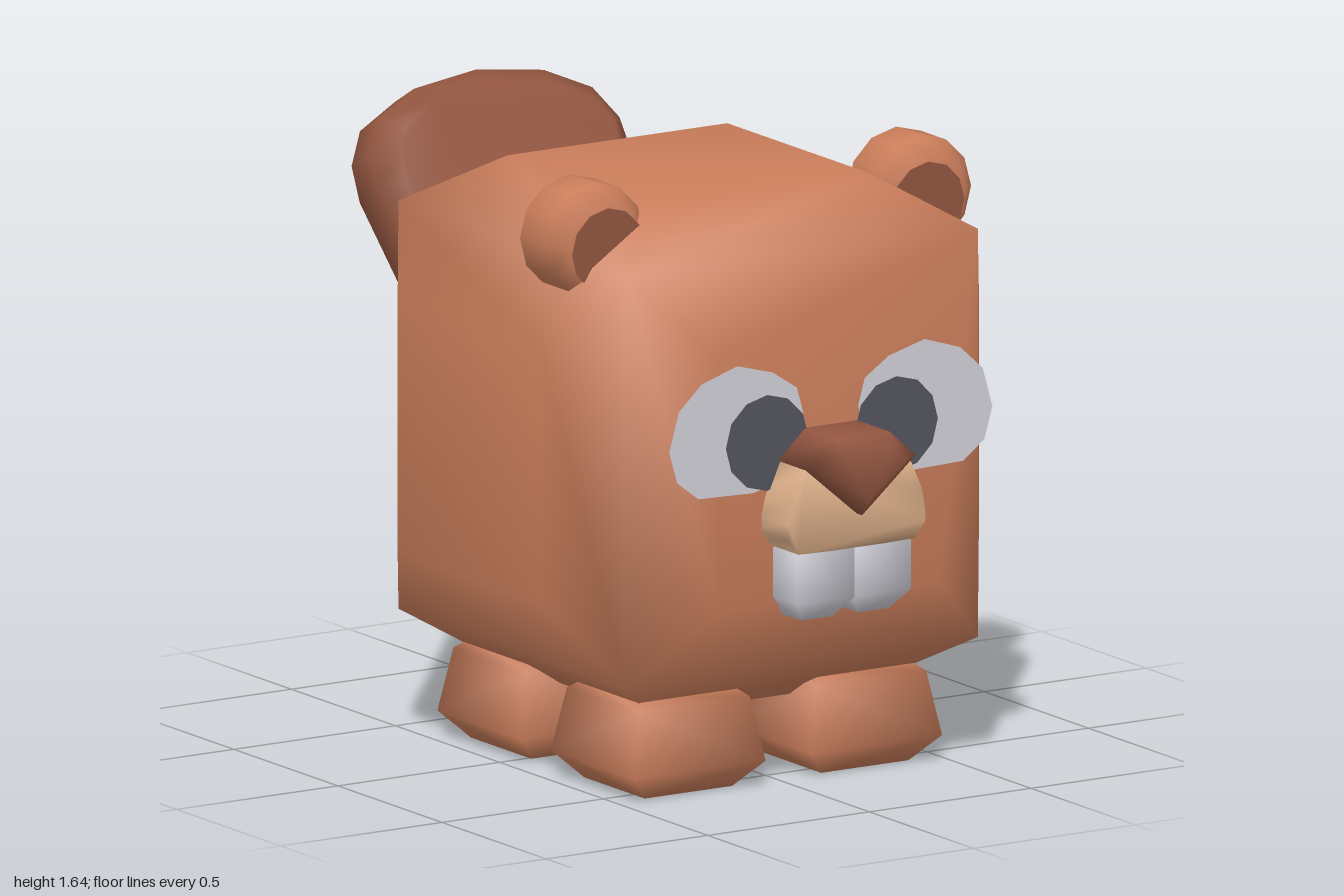
import * as THREE from 'three';
import { mergeVertices } from 'three/addons/utils/BufferGeometryUtils.js';
import { ConvexGeometry } from 'three/addons/geometries/ConvexGeometry.js';

const material = (name, color, side = THREE.FrontSide) => {
  const m = new THREE.MeshStandardMaterial({ color, side });
  m.name = name;
  return m;
};

// Weld all corners so the normals run smoothly over the facets
function soften(geometry) {
  geometry.deleteAttribute('normal');
  geometry.deleteAttribute('uv');
  const g = mergeVertices(geometry, 1e-4);
  g.computeVertexNormals();
  return g;
}

const softHull = (points) => soften(new ConvexGeometry(points));

// Rectangular rings [y, half width, half depth] joined into a chamfered block
function ringBlock(rings) {
  const points = [];
  for (const [y, w, d] of rings)
    for (const sx of [-1, 1]) for (const sz of [-1, 1]) points.push(new THREE.Vector3(sx * w, y, sz * d));
  return softHull(points);
}

// Half outline, from bottom to top, mirrored into a full closed shape
function mirroredShape(half) {
  const left = half.filter(([x]) => x > 0).reverse().map(([x, y]) => [-x, y]);
  return new THREE.Shape([...half, ...left].map(([x, y]) => new THREE.Vector2(x, y)));
}

// Soft plate between two z values with chamfered rims
function plate(shape, zBack, zFront, bevel) {
  const g = new THREE.ExtrudeGeometry(shape, {
    depth: zFront - zBack - 2 * bevel, bevelEnabled: bevel > 0, bevelSize: bevel,
    bevelThickness: bevel, bevelOffset: -bevel, bevelSegments: 1, curveSegments: 1,
  });
  g.translate(0, 0, zBack + bevel);
  return soften(g);
}

export function createModel() {
  const fur = material('fur', 0xcb7e5b);
  const brown = material('dark brown', 0x935640);
  const tan = material('tan', 0xdcae88);
  const white = material('white', 0xd2d1da);
  const eyeWhite = material('eye white', 0xd2d1da, THREE.DoubleSide);
  const pupilGrey = material('pupil grey', 0x545460, THREE.DoubleSide);

  const model = new THREE.Group();
  const add = (name, geometry, mat, x = 0, y = 0, z = 0) => {
    const mesh = new THREE.Mesh(geometry, mat);
    mesh.name = name;
    mesh.position.set(x, y, z);
    model.add(mesh);
    return mesh;
  };

  // Body: a cube whose six faces bulge out to smaller squares
  const R = 0.68, F = 0.34, C = 0.545;
  const bodyPoints = [];
  for (const a of [-1, 1]) for (const b of [-1, 1]) for (const c of [-1, 1]) {
    bodyPoints.push(
      new THREE.Vector3(a * C, b * C, c * C),
      new THREE.Vector3(a * R, b * F, c * F),
      new THREE.Vector3(a * F, b * R, c * F),
      new THREE.Vector3(a * F, b * F, c * R));
  }
  add('body', softHull(bodyPoints), fur, 0, 0.88, 0.13);

  // Tail: a wide paddle leaning back by 30 degrees
  const tailShape = mirroredShape([
    [0.18, 0.84], [0.26, 0.92], [0.34, 1.3], [0.392, 1.56], [0.385, 1.66],
    [0.33, 1.75], [0.2, 1.815], [0, 1.842],
  ]);
  add('tail', plate(tailShape, -0.123, 0.092, 0.055), brown).rotation.x = -Math.PI / 6;

  // Muzzle and nose
  add('muzzle', plate(mirroredShape([
    [0.08, 0.695], [0.18, 0.697], [0.212, 0.74], [0.212, 0.78], [0.2, 0.83], [0.16, 0.92],
  ]), 0.76, 0.94, 0), tan);
  add('nose', plate(mirroredShape([
    [0, 0.785], [0.165, 0.925], [0.085, 0.998],
  ]), 0.76, 1.0, 0.035), brown);

  // Shared shapes for the mirrored parts
  const foot = ringBlock([[0, 0.135, 0.145], [0.07, 0.202, 0.202], [0.24, 0.172, 0.172], [0.27, 0.135, 0.135]]);
  const tooth = ringBlock([[0.505, 0.048, 0.045], [0.56, 0.088, 0.09], [0.69, 0.088, 0.09], [0.73, 0.05, 0.05]]);
  const ear = soften(new THREE.LatheGeometry([
    [0, -0.105], [0.11, -0.105], [0.152, -0.062], [0.152, 0.062], [0.11, 0.105], [0, 0.105],
  ].map(([r, y]) => new THREE.Vector2(r, y)), 12).rotateX(Math.PI / 2));
  const innerEar = new THREE.CircleGeometry(0.112, 12);
  const pupil = new THREE.CircleGeometry(0.128, 12);
  const eyeOutline = [
    [0.5, 0.985], [0.47, 1.09], [0.4, 1.155], [0.29, 1.19], [0.18, 1.16], [0.105, 1.11],
    [0.085, 1.04], [0.1, 0.94], [0.16, 0.865], [0.24, 0.845], [0.41, 0.85], [0.475, 0.9],
  ];

  for (const [side, s] of [['left', 1], ['right', -1]]) {
    add(side + 'FrontFoot', foot, fur, s * 0.273, 0, 0.41);
    add(side + 'BackFoot', foot, fur, s * 0.273, 0, -0.135);
    add(side + 'Tooth', tooth, white, s * 0.088, 0, 0.838);
    add(side + 'Ear', ear, fur, s * 0.506, 1.486, 0.405);
    add(side + 'InnerEar', innerEar, brown, s * 0.495, 1.467, 0.514);

    // Flat eyes that stand clear of the rounded cheeks
    const outline = eyeOutline.map(([x, y]) => new THREE.Vector2(s * x, y));
    add(side + 'Eye', new THREE.ShapeGeometry(new THREE.Shape(outline)), eyeWhite, 0, 0, 0.815);
    add(side + 'Pupil', pupil, pupilGrey, s * 0.2, 0.975, 0.82);
  }
  return model;
}
